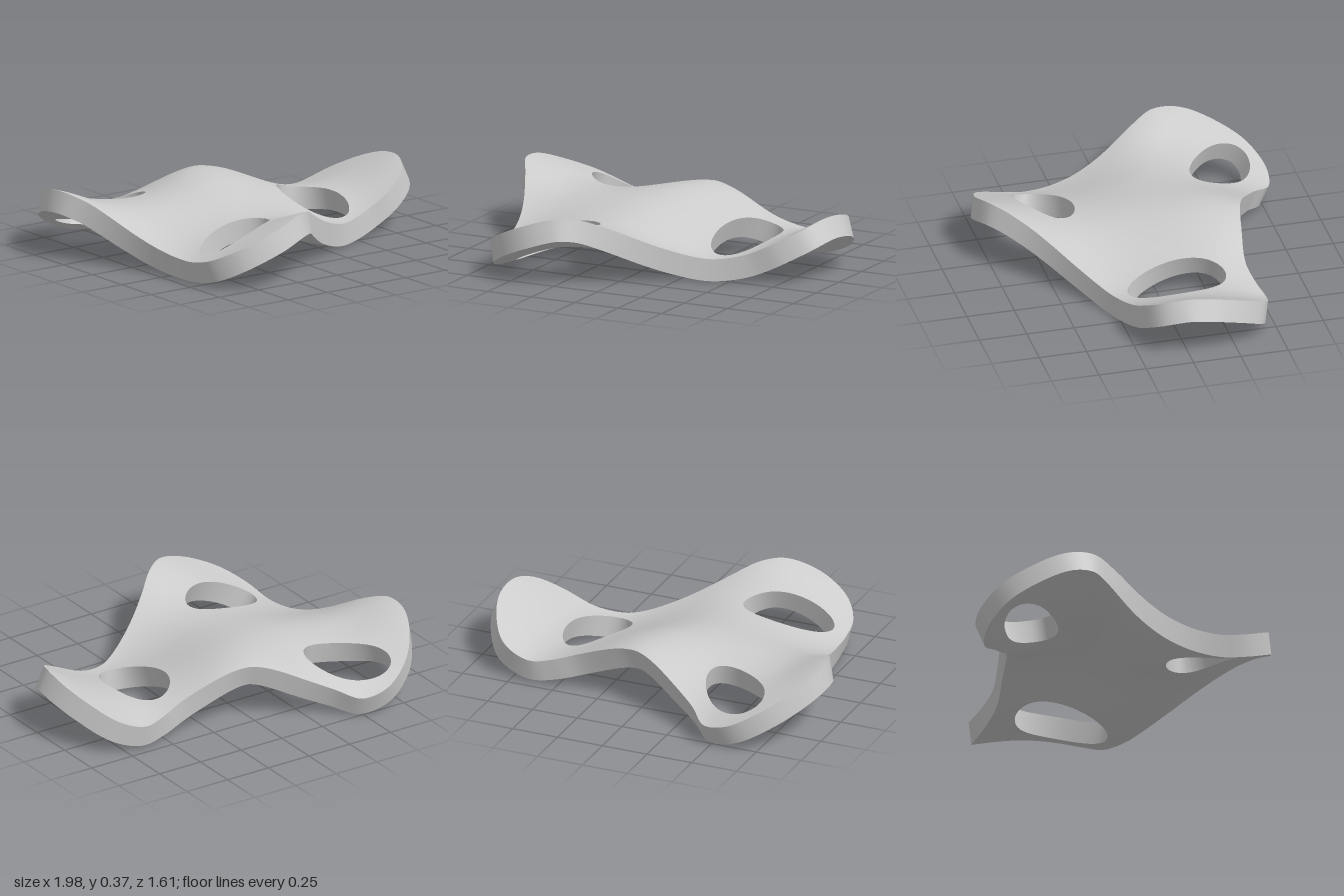
import * as THREE from 'three';

const THICK = 0.115, STEPS = 8, RINGS = 12;
const CENTRE = [-0.15, -0.02];

// Top edge of the plate, clockwise from the back: x, z, height
const EDGE = [
  [0.02, -0.51, 0.322], [0.2, -0.47, 0.285], [0.4, -0.44, 0.2], [0.53, -0.46, 0.155],
  [0.65, -0.48, 0.138], [0.8, -0.445, 0.195], [0.89, -0.33, 0.265], [0.943, -0.17, 0.325],
  [0.93, 0.01, 0.343], [0.865, 0.13, 0.3], [0.74, 0.195, 0.23], [0.58, 0.22, 0.155],
  [0.4, 0.28, 0.125], [0.15, 0.43, 0.205], [-0.02, 0.56, 0.295], [-0.13, 0.66, 0.35],
  [-0.25, 0.74, 0.362], [-0.4, 0.775, 0.318], [-0.52, 0.755, 0.27], [-0.62, 0.7, 0.218],
  [-0.695, 0.59, 0.16], [-0.715, 0.45, 0.128], [-0.73, 0.3, 0.135], [-0.76, 0.15, 0.17],
  [-0.81, 0, 0.235], [-0.89, -0.17, 0.33], [-0.955, -0.3, 0.375], [-0.955, -0.45, 0.365],
  [-0.89, -0.6, 0.31], [-0.77, -0.74, 0.235], [-0.62, -0.81, 0.155], [-0.47, -0.79, 0.12],
  [-0.36, -0.69, 0.165], [-0.2, -0.6, 0.24],
];
// Heights inside the plate
const INNER = [
  [-0.1, 0, 0.29], [-0.1, 0.25, 0.253], [-0.05, -0.22, 0.328], [-0.05, -0.38, 0.335],
  [0.28, -0.1, 0.215], [0.5, -0.1, 0.18], [0.68, -0.1, 0.21], [-0.5, -0.12, 0.275],
  [-0.72, -0.35, 0.287], [-0.35, -0.45, 0.255], [-0.7, -0.65, 0.235], [-0.55, -0.7, 0.18],
  [-0.6, 0.45, 0.175], [-0.2, 0.42, 0.265],
];
// One lobe per hole: range of EDGE points, hole centre, half axes, turn
const LOBES = [
  { name: 'leftLobe', from: 0, to: 13, c: [0.443, -0.065], a: 0.255, b: 0.15, turn: -1.5 },
  { name: 'frontLobe', from: 13, to: 24, c: [-0.412, 0.417], a: 0.235, b: 0.13, turn: -0.26 },
  { name: 'backLobe', from: 24, to: 34, c: [-0.54, -0.55], a: 0.225, b: 0.13, turn: 0.73 },
];

// Smooth height field through the given points (thin-plate spline)
function makeHeight(pts) {
  const n = pts.length, N = n + 3;
  const U = (dx, dz) => { const q = dx * dx + dz * dz; return q < 1e-12 ? 0 : 0.5 * q * Math.log(q); };
  const M = Array.from({ length: N }, () => new Array(N + 1).fill(0));
  pts.forEach((p, i) => {
    pts.forEach((q, j) => { M[i][j] = U(p[0] - q[0], p[1] - q[1]); });
    M[i][i] += 0.002;
    [1, p[0], p[1]].forEach((v, k) => { M[i][n + k] = v; M[n + k][i] = v; });
    M[i][N] = p[2];
  });
  for (let i = 0; i < N; i++) {
    let best = i;
    for (let r = i + 1; r < N; r++) if (Math.abs(M[r][i]) > Math.abs(M[best][i])) best = r;
    [M[i], M[best]] = [M[best], M[i]];
    for (let r = 0; r < N; r++) {
      if (r === i) continue;
      const f = M[r][i] / M[i][i];
      for (let k = i; k <= N; k++) M[r][k] -= f * M[i][k];
    }
  }
  const w = M.map((row, i) => row[N] / row[i]);
  return (x, z) => pts.reduce((s, p, i) => s + w[i] * U(x - p[0], z - p[1]),
    w[n] + w[n + 1] * x + w[n + 2] * z);
}

// Grid of points (rows of equal length) to a geometry
function gridGeometry(rows, flip, normals) {
  const cols = rows[0].length, index = [];
  for (let k = 0; k < rows.length - 1; k++) {
    for (let j = 0; j < cols - 1; j++) {
      const a = k * cols + j, b = a + 1, c = a + cols, d = c + 1;
      if (flip) index.push(a, c, b, b, c, d);
      else index.push(a, b, c, b, d, c);
    }
  }
  const g = new THREE.BufferGeometry();
  const flat = (r) => new THREE.Float32BufferAttribute(r.flat().flatMap((v) => [v.x, v.y, v.z]), 3);
  g.setAttribute('position', flat(rows));
  g.setIndex(index);
  if (normals) g.setAttribute('normal', flat(normals));
  else g.computeVertexNormals();
  return g;
}

export function createModel() {
  const model = new THREE.Group();
  const plate = new THREE.Group();
  plate.name = 'wavyPlate';
  model.add(plate);
  const material = new THREE.MeshStandardMaterial({ color: 0xcccccc });
  const add = (name, geometry) => {
    const mesh = new THREE.Mesh(geometry, material);
    mesh.name = name;
    plate.add(mesh);
  };

  const height = makeHeight([...EDGE, ...INNER]);
  const top = ([x, z]) => new THREE.Vector3(x, height(x, z), z);
  const normal = ([x, z]) => {
    const e = 0.004;
    return new THREE.Vector3(height(x - e, z) - height(x + e, z), 2 * e,
      height(x, z - e) - height(x, z + e)).normalize();
  };
  const under = (p) => top(p).addScaledVector(normal(p), -THICK);

  const curve = new THREE.CatmullRomCurve3(EDGE.map((p) => new THREE.Vector3(p[0], 0, p[1])), true);
  const total = EDGE.length * STEPS;
  const outline = Array.from({ length: total + 1 }, (_, i) => {
    const v = curve.getPoint((i % total) / total);
    return [v.x, v.z];
  });
  const mix = (p, q, t) => [p[0] + (q[0] - p[0]) * t, p[1] + (q[1] - p[1]) * t];

  // Each lobe is lofted from its hole rim out to its share of the outline
  for (const lobe of LOBES) {
    const arc = outline.slice(lobe.from * STEPS, lobe.to * STEPS + 1);
    const border = [...arc];
    const spokes = 20;
    for (let i = 1; i <= spokes; i++) border.push(mix(arc[arc.length - 1], CENTRE, i / spokes));
    for (let i = 1; i <= spokes; i++) border.push(mix(CENTRE, arc[0], i / spokes));
    const rim = border.map((p) => {
      const ang = Math.atan2(p[1] - lobe.c[1], p[0] - lobe.c[0]);
      const u = Math.cos(ang - lobe.turn) / lobe.a, v = Math.sin(ang - lobe.turn) / lobe.b;
      const r = 1 / Math.hypot(u, v);
      return [lobe.c[0] + r * Math.cos(ang), lobe.c[1] + r * Math.sin(ang)];
    });
    const rows = Array.from({ length: RINGS + 1 }, (_, k) =>
      rim.map((p, j) => mix(p, border[j], k / RINGS)));
    const up = rows.map((r) => r.map(normal));
    const down = up.map((r) => r.map((v) => v.clone().negate()));
    add(lobe.name + 'Top', gridGeometry(rows.map((r) => r.map(top)), false, up));
    add(lobe.name + 'Underside', gridGeometry(rows.map((r) => r.map(under)), true, down));
    add(lobe.name + 'HoleWall', gridGeometry([rim.map(top), rim.map(under)], true));
  }

  // Outer edge of the plate
  add('outerEdge', gridGeometry([outline.map(top), outline.map(under)], false));

  // Stand on the ground, centred
  const box = new THREE.Box3().setFromObject(plate);
  const mid = box.getCenter(new THREE.Vector3());
  plate.position.set(-mid.x, -box.min.y, -mid.z);
  return model;
}
